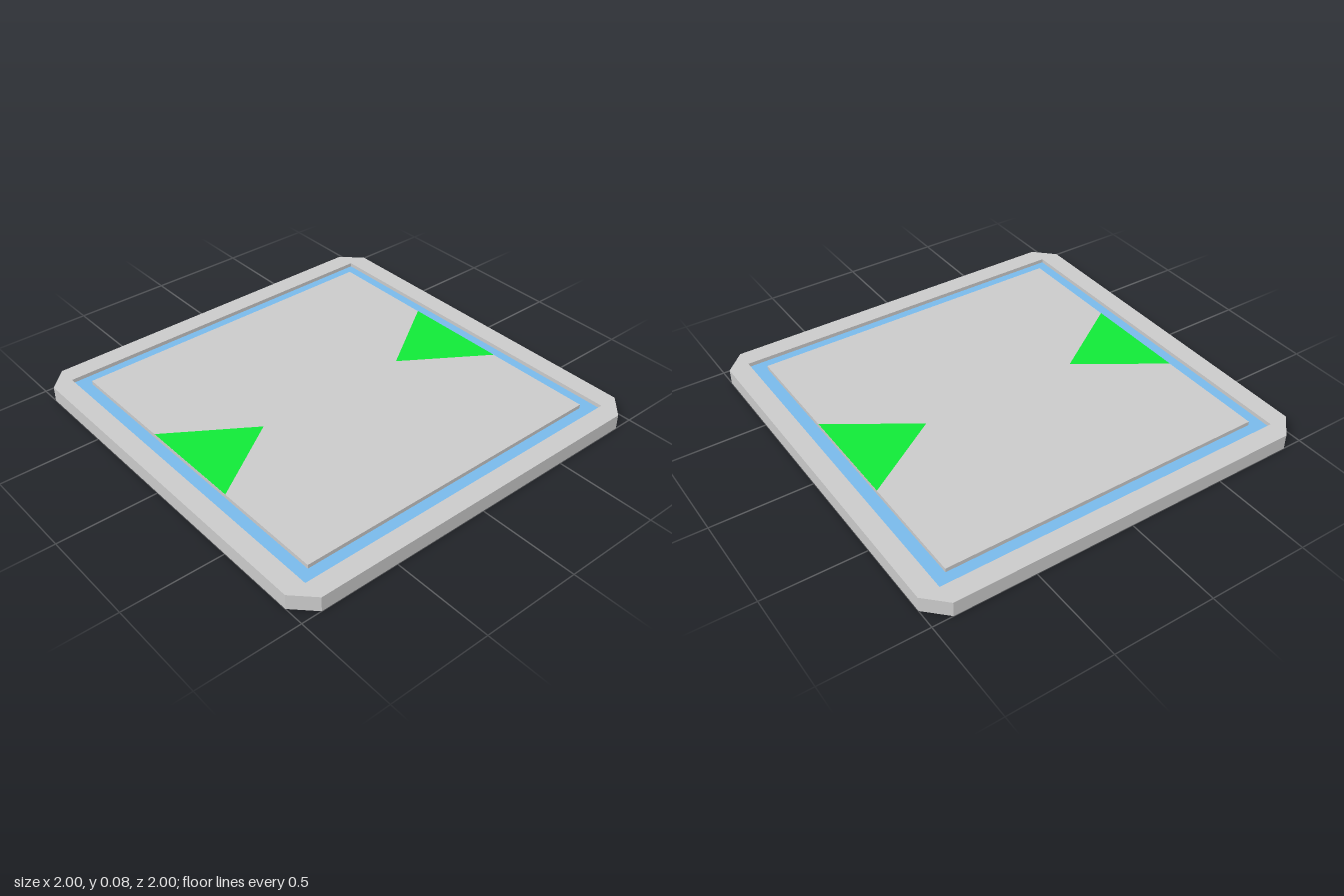
import * as THREE from 'three';

const TOP = 0.076, FLOOR = 0.056;
const RIM = 0.9, PANEL = 0.83;

const material = (color) => new THREE.MeshStandardMaterial({ color, flatShading: true });

// Square ring of eight points with cut corners (cut = 0 gives a sharp square).
function ring(half, cut, y) {
  const s = half - cut;
  return [[half, -s], [half, s], [s, half], [-s, half], [-half, s], [-half, -s], [-s, -half], [s, -half]]
    .map(([x, z]) => new THREE.Vector3(x, y, z));
}

// Joins successive rings with faces, leaving out collapsed triangles.
function loft(rings) {
  const points = [];
  const add = (a, b, c) => {
    if (new THREE.Triangle(a, b, c).getArea() > 1e-7) points.push(a, b, c);
  };
  for (let i = 0; i < rings.length - 1; i++) {
    for (let k = 0; k < 8; k++) {
      const n = (k + 1) % 8;
      const a = rings[i][k], b = rings[i][n], c = rings[i + 1][n], d = rings[i + 1][k];
      add(a, d, b);
      add(b, d, c);
    }
  }
  const geometry = new THREE.BufferGeometry().setFromPoints(points);
  geometry.computeVertexNormals();
  return geometry;
}

export function createModel() {
  const group = new THREE.Group();
  const grey = material(0xcccccc);
  const blue = material(0x79baeb);
  const green = material(0x11ea38);

  const add = (name, geometry, mat) => {
    const mesh = new THREE.Mesh(geometry, mat);
    mesh.name = name;
    group.add(mesh);
    return mesh;
  };

  // Underside, chamfered outer wall, rim top and inner rim wall
  add('tileRim', loft([
    ring(0, 0, 0), ring(1, 0.1, 0), ring(1, 0.1, TOP), ring(RIM, 0, TOP), ring(RIM, 0, FLOOR),
  ]), grey);

  // Coloured floor of the groove
  add('grooveFloor', loft([ring(RIM, 0, FLOOR), ring(PANEL, 0, FLOOR)]), blue);

  // Raised centre panel
  add('centrePanel', loft([ring(PANEL, 0, FLOOR), ring(PANEL, 0, TOP), ring(0, 0, TOP)]), grey);

  // Arrow markers pointing inward from the front and back edges
  const arrow = new THREE.Shape([
    new THREE.Vector2(-0.275, -PANEL), new THREE.Vector2(0.275, -PANEL), new THREE.Vector2(0, -0.415),
  ]);
  const arrowGeometry = new THREE.ShapeGeometry(arrow).rotateX(-Math.PI / 2);
  ['frontArrow', 'backArrow'].forEach((name, i) => {
    const marker = add(name, arrowGeometry, green);
    marker.position.y = TOP + 0.001;
    marker.rotation.y = i * Math.PI;
  });

  return group;
}
